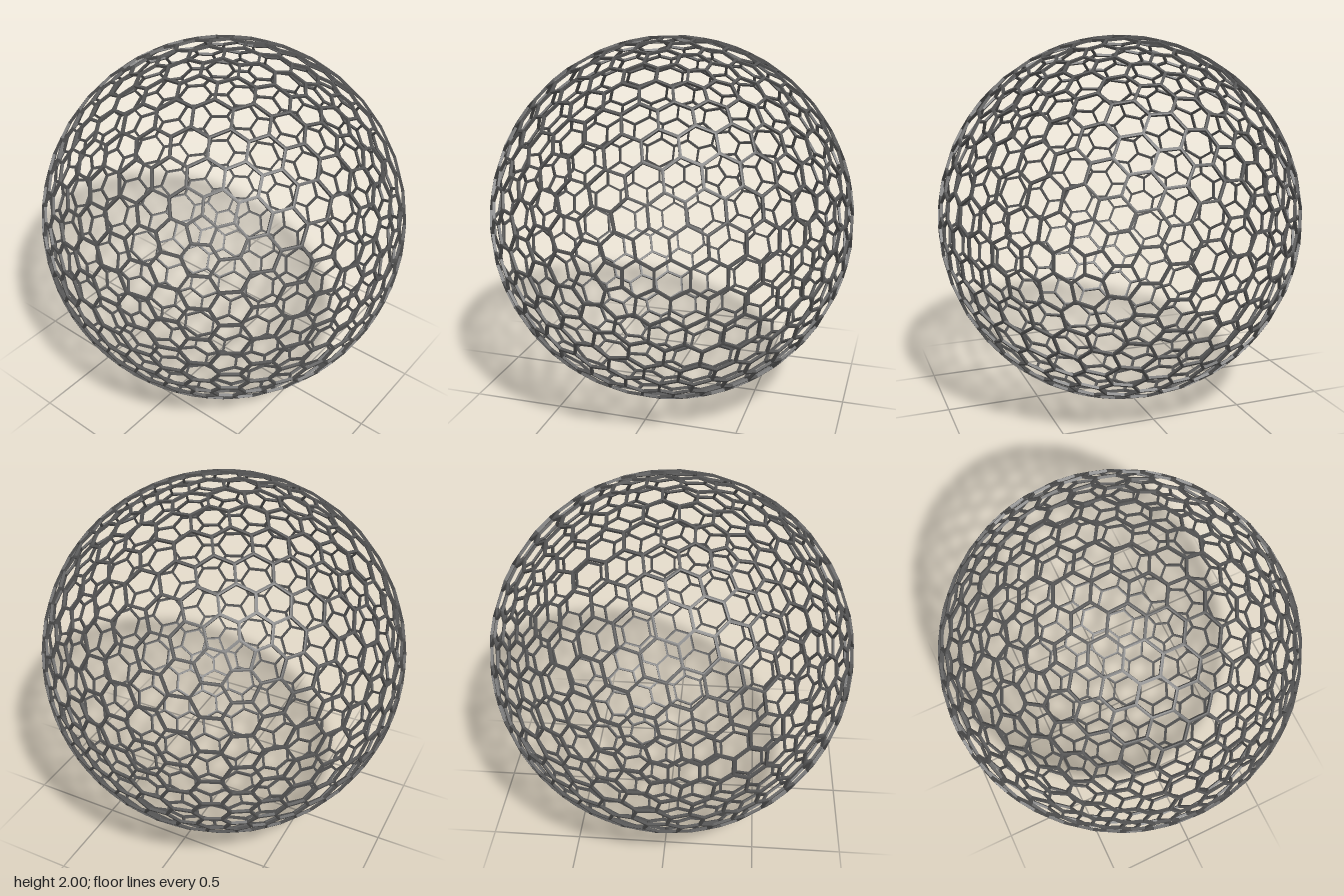
import * as THREE from 'three';

const FREQ = 7;          // grid steps along each icosahedron edge
const HALF_WIDTH = 0.007; // half the width of a strut
const INNER = 0.986;     // inner radius of the lattice shell

// The 20 triangles of an icosahedron with poles on the z axis
function icosahedronFaces() {
  const h = Math.sqrt(0.2), r = 2 * h;
  const ring = (k, off, z) => {
    const a = (k + off) * Math.PI * 0.4;
    return new THREE.Vector3(r * Math.cos(a), r * Math.sin(a), z);
  };
  const north = new THREE.Vector3(0, 0, 1), south = new THREE.Vector3(0, 0, -1);
  const faces = [];
  for (let k = 0; k < 5; k++) {
    const f0 = ring(k, 0, h), f1 = ring(k + 1, 0, h);
    const b0 = ring(k, 0.5, -h), b1 = ring(k + 1, 0.5, -h);
    faces.push([north, f0, f1], [f0, b0, f1], [b0, b1, f1], [south, b1, b0]);
  }
  return faces;
}

// One cell per geodesic grid point; its corners are the centres of the triangles around it
function goldbergCells() {
  const cells = new Map();
  const addTriangle = (pts) => {
    const mid = new THREE.Vector3();
    pts.forEach((p) => mid.add(p));
    mid.normalize();
    for (const p of pts) {
      const key = p.toArray().map((n) => Math.round(n * 1000)).join();
      if (!cells.has(key)) cells.set(key, { centre: p, corners: [] });
      cells.get(key).corners.push(mid);
    }
  };
  for (const [a, b, c] of icosahedronFaces()) {
    const at = (i, j) => new THREE.Vector3()
      .addScaledVector(a, FREQ - i - j)
      .addScaledVector(b, i)
      .addScaledVector(c, j)
      .normalize();
    for (let i = 0; i < FREQ; i++) {
      for (let j = 0; j < FREQ - i; j++) {
        addTriangle([at(i, j), at(i + 1, j), at(i, j + 1)]);
        if (i + j < FREQ - 1) addTriangle([at(i + 1, j), at(i + 1, j + 1), at(i, j + 1)]);
      }
    }
  }
  return [...cells.values()];
}

// Frame around each pentagon or hexagon: outer face, inner face and opening wall
function latticeGeometry() {
  const positions = [];
  const quad = (a, b, c, d) => {
    for (const p of [a, b, c, a, c, d]) positions.push(p.x, p.y, p.z);
  };
  for (const { centre, corners } of goldbergCells()) {
    // order the corners counter-clockwise seen from outside
    const u = corners[0].clone().sub(centre);
    const w = centre.clone().cross(u);
    const angle = (p) => Math.atan2(p.clone().sub(centre).dot(w), p.clone().sub(centre).dot(u));
    corners.sort((p, q) => angle(p) - angle(q));

    const n = corners.length;
    // inset each corner along its mitre so the strut width stays even
    const inset = corners.map((p, i) => {
      const d1 = corners[(i + 1) % n].clone().sub(p).normalize();
      const d0 = corners[(i + n - 1) % n].clone().sub(p).normalize();
      const half = d0.angleTo(d1) / 2;
      return p.clone().addScaledVector(d0.add(d1).normalize(), HALF_WIDTH / Math.sin(half));
    });
    for (let i = 0; i < n; i++) {
      const j = (i + 1) % n;
      const [a, b, c, d] = [corners[i], corners[j], inset[j], inset[i]];
      const [a2, b2, c2, d2] = [a, b, c, d].map((p) => p.clone().multiplyScalar(INNER));
      quad(a, b, c, d);
      quad(d2, c2, b2, a2);
      quad(d, c, c2, d2);
    }
  }
  const geometry = new THREE.BufferGeometry();
  geometry.setAttribute('position', new THREE.Float32BufferAttribute(positions, 3));
  geometry.computeVertexNormals();
  return geometry;
}

export function createModel() {
  const group = new THREE.Group();
  group.name = 'geodesicSphere';
  const material = new THREE.MeshStandardMaterial({ color: 0x555555, flatShading: true });
  const lattice = new THREE.Mesh(latticeGeometry(), material);
  lattice.name = 'hexagonLattice';
  lattice.position.y = 1;
  group.add(lattice);
  return group;
}
